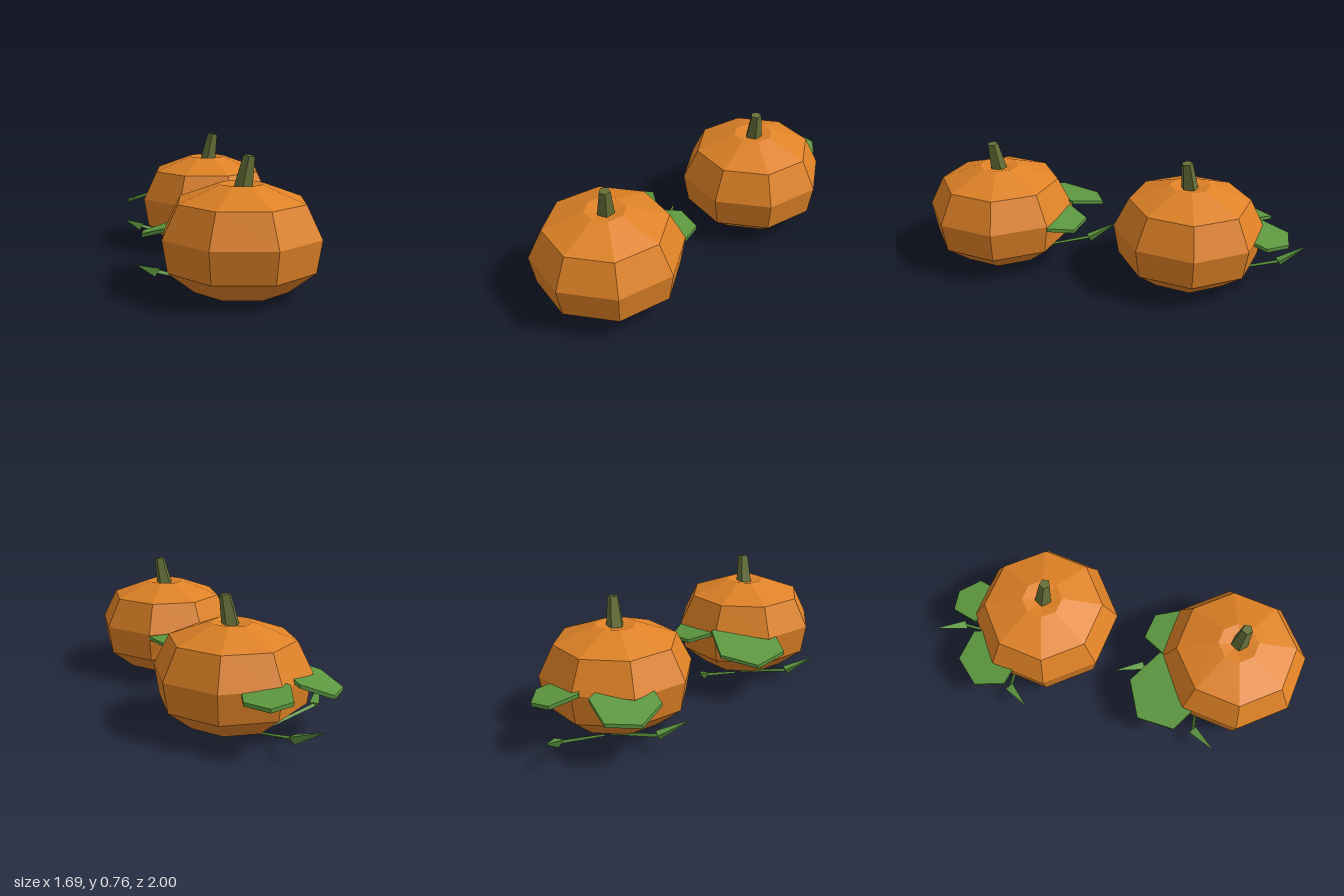
import * as THREE from 'three';

const orange = new THREE.MeshStandardMaterial({ color: 0xdf8226 });
orange.name = 'pumpkinOrange';
const leafGreen = new THREE.MeshStandardMaterial({ color: 0x5c973f });
leafGreen.name = 'leafGreen';
const stemOlive = new THREE.MeshStandardMaterial({ color: 0x667038 });
stemOlive.name = 'stemOlive';

// Faceted mesh: split the faces so that each has its own normal
function faceted(name, geometry, material) {
  const flat = geometry.index ? geometry.toNonIndexed() : geometry;
  flat.computeVertexNormals();
  const mesh = new THREE.Mesh(flat, material);
  mesh.name = name;
  return mesh;
}

// Moves each vertex's position by a rule
function deform(geometry, rule) {
  const pos = geometry.attributes.position;
  const v = new THREE.Vector3();
  for (let i = 0; i < pos.count; i++) {
    rule(v.fromBufferAttribute(pos, i));
    pos.setXYZ(i, v.x, v.y, v.z);
  }
  return geometry;
}

// Eight-sided body with a shallow dent under the stem
function body() {
  const profile = [[0, 0.01], [0.27, 0.04], [0.42, 0.16], [0.45, 0.34], [0.36, 0.52], [0.12, 0.61], [0, 0.585]];
  return faceted('pumpkinBody', new THREE.LatheGeometry(profile.map(p => new THREE.Vector2(...p)), 8), orange);
}

// Five-sided stem leaning to +x, with a slightly slanted top
function stem() {
  const geometry = new THREE.CylinderGeometry(0.033, 0.055, 0.19, 5, 1, false, Math.PI / 2);
  deform(geometry, v => {
    const top = v.y > 0;
    if (top) v.y -= v.x * 0.12;
    v.x += top ? 0.042 : 0.005;
    v.y += 0.665;
  });
  return faceted('stem', geometry, stemOlive);
}

// Flat leaf plate from an [x, z] outline, tilted by a height rule
function leaf(name, outline, height) {
  const shape = new THREE.Shape(outline.map(p => new THREE.Vector2(...p)));
  const geometry = new THREE.ExtrudeGeometry(shape, { depth: 0.022, bevelEnabled: false });
  geometry.rotateX(Math.PI / 2);
  deform(geometry, v => { v.y += height(v.x, v.z); });
  return faceted(name, geometry, leafGreen);
}

// Three-sided tapered rod between two points
function rod(name, from, to, r0, r1) {
  const a = new THREE.Vector3(...from), b = new THREE.Vector3(...to);
  const dir = b.clone().sub(a);
  const geometry = new THREE.CylinderGeometry(r1, r0, dir.length(), 3);
  const mesh = faceted(name, geometry, leafGreen);
  mesh.position.copy(a).add(b).multiplyScalar(0.5);
  mesh.quaternion.setFromUnitVectors(new THREE.Vector3(0, 1, 0), dir.normalize());
  return mesh;
}

// Thin runner that ends in a pointed bud
function tendril(root, neck, tip) {
  const group = new THREE.Group();
  group.name = 'tendril';
  group.add(rod('runner', root, neck, 0.008, 0.012), rod('bud', neck, tip, 0.032, 0));
  return group;
}

function pumpkin(name, x, z, sideOutline, sideSlope, backOutline) {
  const group = new THREE.Group();
  group.name = name;
  group.add(
    body(),
    stem(),
    leaf('sideLeaf', sideOutline, px => 0.345 + sideSlope * (px + 0.41)),
    leaf('backLeaf', backOutline, (px, pz) => 0.33 + 0.2 * (pz + 0.45)),
    tendril([-0.18, 0.012, -0.12], [-0.38, 0.115, -0.4], [-0.55, 0.2, -0.49]),
    tendril([-0.18, 0.012, -0.08], [-0.455, 0.11, 0.12], [-0.475, 0.19, 0.305])
  );
  group.position.set(x, 0, z);
  return group;
}

export function createModel() {
  const model = new THREE.Group();
  model.name = 'pumpkinPair';
  model.add(
    pumpkin('backPumpkin', -0.235, -0.475,
      [[-0.615, 0], [-0.575, -0.19], [-0.395, -0.235], [-0.25, -0.08], [-0.3, 0.1], [-0.485, 0.14]], 0.36,
      [[-0.385, -0.445], [-0.28, -0.525], [-0.135, -0.48], [-0.11, -0.38], [-0.2, -0.24], [-0.35, -0.28]]),
    pumpkin('frontPumpkin', 0.395, 0.545,
      [[-0.675, -0.16], [-0.545, -0.355], [-0.305, -0.335], [-0.23, -0.14], [-0.36, 0.06], [-0.575, 0.05]], 0.3,
      [[-0.285, -0.485], [-0.13, -0.545], [0, -0.45], [-0.02, -0.3], [-0.15, -0.22], [-0.29, -0.3]])
  );
  return model;
}
